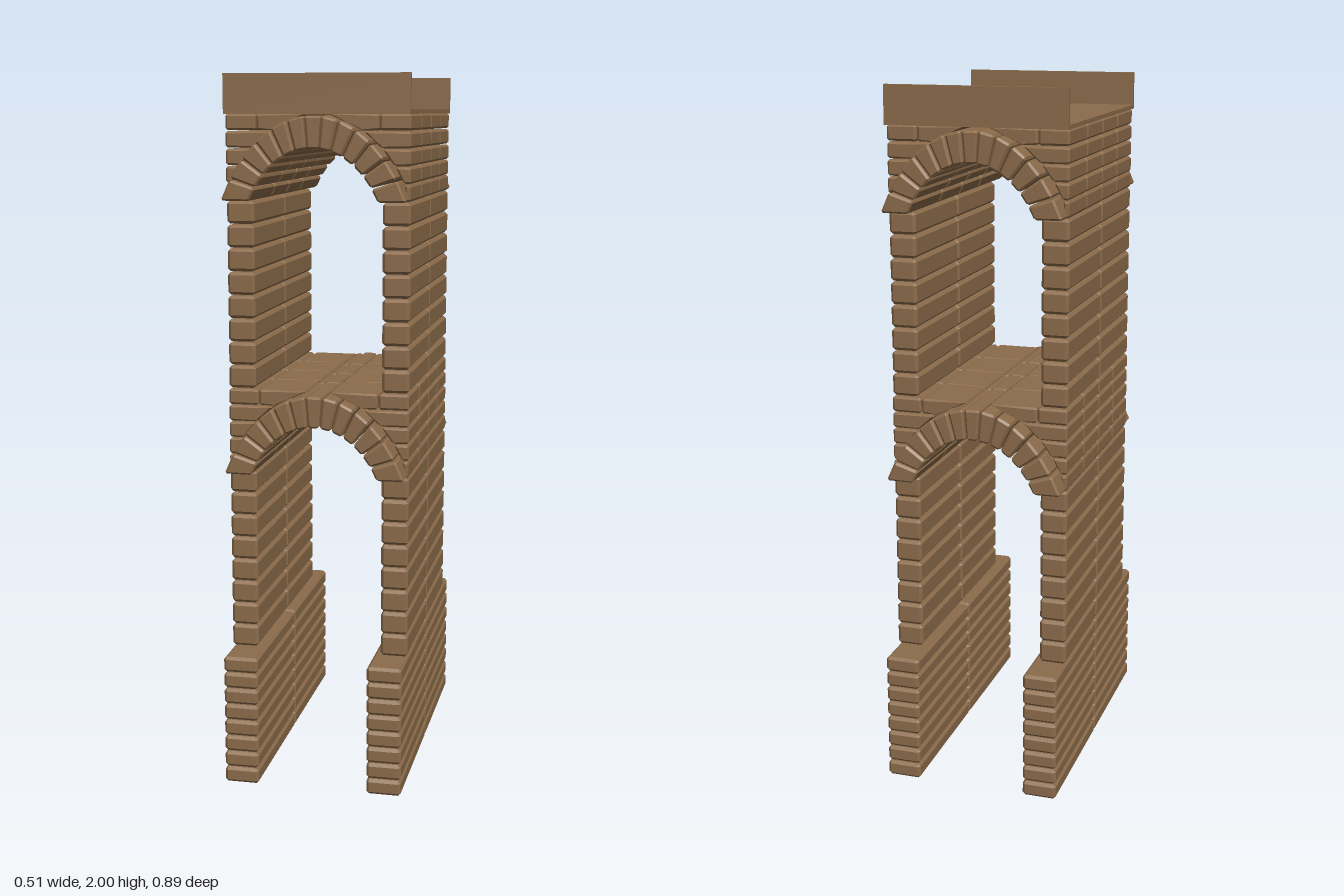
import * as THREE from 'three';
import { ConvexGeometry } from 'three/addons/geometries/ConvexGeometry.js';
import { mergeGeometries } from 'three/addons/utils/BufferGeometryUtils.js';

const material = new THREE.MeshStandardMaterial({ color: 0x8b6b4a, flatShading: true, side: THREE.DoubleSide });
const HALF = 0.256;      // half width of the tower
const GAP = 0.0015;      // half joint between stones

// Stone with chamfered edges: a four-cornered profile in xy, drawn out from z0 to z1
function stone(quad, z0, z1, chamfer = 0.008) {
  const corners = quad.map(([x, y]) => new THREE.Vector2(x, y));
  const points = [];
  corners.forEach((p, i) => {
    const edge = (k) => {
      const d = corners[(i + k) % 4].clone().sub(p);
      return d.setLength(Math.min(chamfer, d.length() * 0.25));
    };
    const a = edge(1), b = edge(3);
    const add = (q, z) => points.push(new THREE.Vector3(q.x, q.y, z));
    for (const [end, dir] of [[z0 + GAP, 1], [z1 - GAP, -1]]) {
      add(p.clone().add(a), end + dir * chamfer);
      add(p.clone().add(b), end + dir * chamfer);
      add(p.clone().add(a).add(b), end);
    }
  });
  return new ConvexGeometry(points);
}

const rect = (x0, x1, y0, y1) => [[x0, y0], [x1, y0], [x1, y1], [x0, y1]];

function addMesh(group, name, geometries) {
  const mesh = new THREE.Mesh(mergeGeometries(geometries), material);
  mesh.name = name;
  group.add(mesh);
}

// Stacked courses, each of two long stones meeting at z = 0
function wall(x0, x1, y0, y1, courses, depth) {
  const list = [];
  const h = (y1 - y0) / courses;
  for (let i = 0; i < courses; i++) {
    const y = y0 + i * h;
    const profile = rect(x0, x1, y + GAP, y + h - GAP);
    list.push(stone(profile, -depth, 0), stone(profile, 0, depth));
  }
  return list;
}

// Arch curve: t runs from -1 to 1, with the crown at t = 0
const SWEEP = THREE.MathUtils.degToRad(60);
function archPoint(t, halfWidth, rise, base) {
  const a = t * SWEEP;
  return [
    halfWidth * Math.sin(a) / Math.sin(SWEEP),
    base + rise * (1 - (1 - Math.cos(a)) / (1 - Math.cos(SWEEP))),
  ];
}

// Half width of the outer arch curve at a height above the springing
function outerX(y, rise) {
  const drop = Math.max(0, 1 - y / rise) * (1 - Math.cos(SWEEP));
  return HALF * Math.sin(Math.acos(1 - drop)) / Math.sin(SWEEP);
}

// Barrel vault of wedge stones
function vault(base) {
  const list = [];
  const n = 13;
  const cuts = [-0.415, -0.17, 0, 0.17, 0.415];
  for (let i = 0; i < n; i++) {
    const t0 = -1 + (2 * i) / n + 0.006, t1 = -1 + (2 * (i + 1)) / n - 0.006;
    const quad = [
      archPoint(t0, 0.178, 0.142, base), archPoint(t1, 0.178, 0.142, base),
      archPoint(t1, HALF, 0.23, base), archPoint(t0, HALF, 0.23, base),
    ];
    for (let k = 0; k < 4; k++) list.push(stone(quad, cuts[k], cuts[k + 1], 0.006));
  }
  return list;
}

// Courses filling the corners between the arch and the outer wall face
function spandrels(base) {
  const list = [];
  const courses = 5, h = 0.235 / courses;
  const cuts = [-0.355, -0.17, 0, 0.17, 0.355];
  for (const side of [1, -1]) {
    for (let i = 0; i < courses; i++) {
      const y0 = i * h + GAP, y1 = (i + 1) * h - GAP;
      const low = Math.min(outerX(y0, 0.23) + 0.003, HALF - 0.012);
      const high = Math.max(outerX(y1, 0.23) + 0.003, 0.03);
      const last = i === courses - 1;
      const edge = last ? 0.168 : HALF;
      const quads = [[[low, y0], [edge, y0], [edge, y1], [high, y1]]];
      if (last) quads.push(rect(0.171, HALF, y0, y1));
      for (const q of quads) {
        const placed = q.map(([x, y]) => [side * x, base + y]);
        for (let k = 0; k < 4; k++) list.push(stone(placed, cuts[k], cuts[k + 1], 0.006));
      }
    }
  }
  return list;
}

export function createModel() {
  const group = new THREE.Group();
  group.name = 'archedStoneTower';

  // Footings and walls on both sides
  for (const [side, label] of [[1, 'left'], [-1, 'right']]) {
    const span = (inner) => (side > 0 ? [inner, HALF] : [-HALF, -inner]);
    addMesh(group, label + 'Footing', wall(...span(0.157), 0, 0.38, 8, 0.448));
    addMesh(group, label + 'LowerWall', wall(...span(0.179), 0.38, 0.903, 8, 0.352));
    addMesh(group, label + 'UpperWall', wall(...span(0.179), 1.138, 1.66, 8, 0.352));
  }

  // Two vaulted storeys
  for (const [base, label] of [[0.903, 'lower'], [1.66, 'upper']]) {
    addMesh(group, label + 'Arch', vault(base));
    addMesh(group, label + 'Spandrels', spandrels(base));
  }

  // Roof deck and the parapets at its ends
  const box = (w, h, d, y, z) => new THREE.BoxGeometry(w, h, d).translate(0, y, z);
  addMesh(group, 'roofDeck', [box(0.514, 0.012, 0.72, 1.899, 0)]);
  for (const [side, label] of [[1, 'front'], [-1, 'back']]) {
    addMesh(group, label + 'Parapet', [box(0.514, 0.107, 0.013, 1.9465, side * 0.361)]);
  }
  return group;
}
